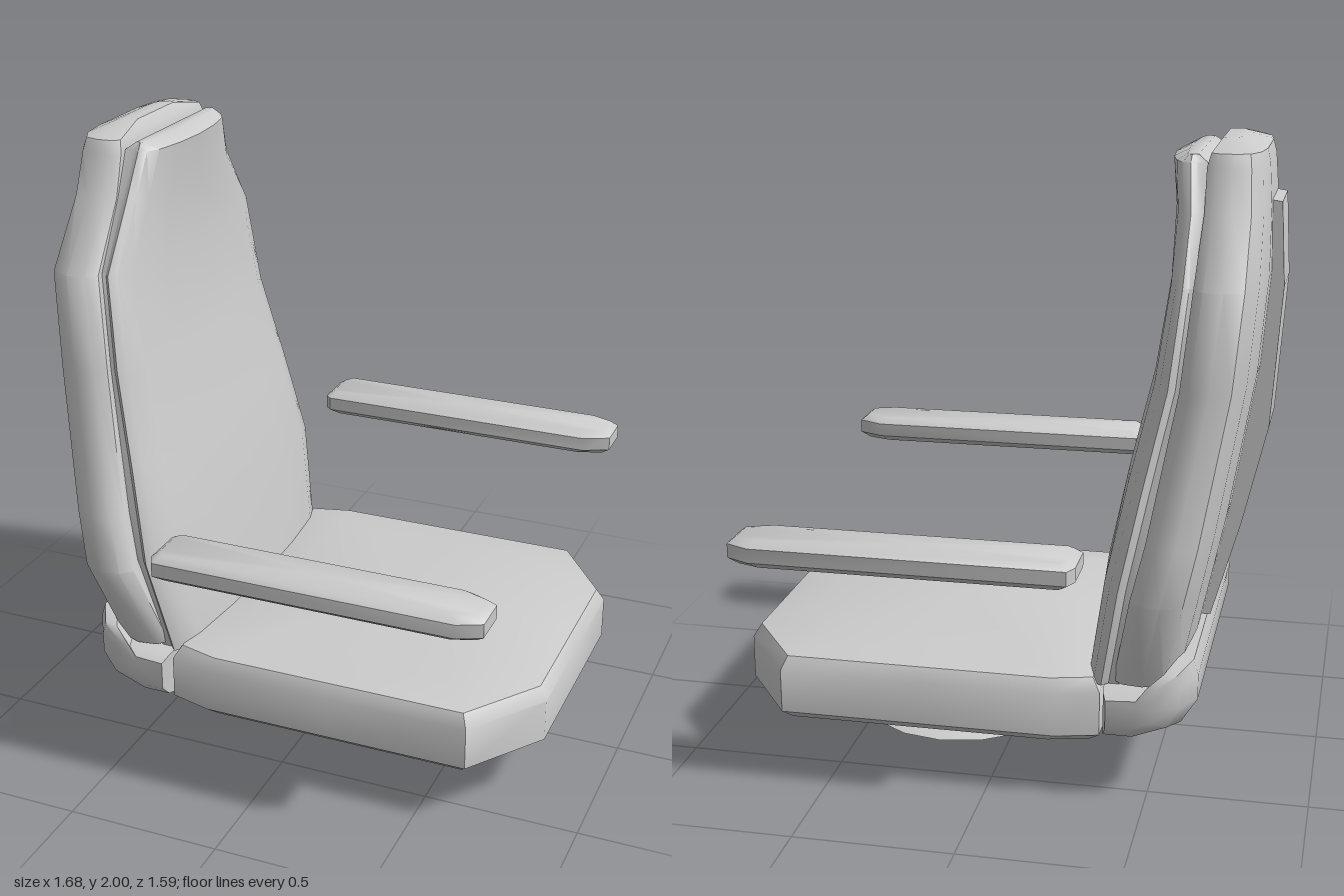
import * as THREE from 'three';
import { toCreasedNormals } from 'three/addons/utils/BufferGeometryUtils.js';

const material = new THREE.MeshStandardMaterial({ color: 0xcccccc });

// Skin a stack of closed rings ([x, y, z] points) and cap both ends.
function loft(rings, crease = 0.75) {
  const n = rings[0].length, pos = rings.flat(2), index = [];
  for (let r = 0; r < rings.length - 1; r++) {
    for (let i = 0; i < n; i++) {
      const a = r * n + i, b = r * n + (i + 1) % n;
      index.push(a, b, b + n, a, b + n, a + n);
    }
  }
  [0, rings.length - 1].forEach((r, end) => {
    const c = pos.length / 3;
    for (let k = 0; k < 3; k++) pos.push(rings[r].reduce((s, p) => s + p[k], 0) / n);
    for (let i = 0; i < n; i++) {
      const a = r * n + i, b = r * n + (i + 1) % n;
      index.push(...(end ? [a, b, c] : [b, a, c]));
    }
  });
  // Turn the faces outward if the signed volume is negative
  const v = (i) => new THREE.Vector3().fromArray(pos, i * 3);
  let volume = 0;
  for (let i = 0; i < index.length; i += 3) {
    volume += v(index[i]).dot(v(index[i + 1]).cross(v(index[i + 2])));
  }
  if (volume < 0) index.reverse();
  const g = new THREE.BufferGeometry();
  g.setAttribute('position', new THREE.Float32BufferAttribute(pos, 3));
  g.setIndex(index);
  return toCreasedNormals(g, crease);
}

// Complete a half outline of [x, z] points by mirroring it across z = 0.
function mirrorZ(half) {
  const back = half.filter((p) => p[1] > 0).reverse().map(([x, z]) => [x, -z]);
  return [...half, ...back];
}

// Padded slab: one plan outline repeated at [y, inset] levels.
function slab(plan, levels) {
  const xs = plan.map((p) => p[0]), zs = plan.map((p) => p[1]);
  const cx = (Math.min(...xs) + Math.max(...xs)) / 2, hx = Math.max(...xs) - cx;
  const cz = (Math.min(...zs) + Math.max(...zs)) / 2, hz = Math.max(...zs) - cz;
  return loft(levels.map(([y, inset]) => plan.map(([x, z]) => [
    cx + (x - cx) * (hx - inset) / hx, y, cz + (z - cz) * (hz - inset) / hz])));
}

// Backrest layer: [y, front x, back x, half width] levels with one section of
// [share of depth, share of half width] points.
function backLayer(levels, section) {
  return loft(levels.map(([y, xf, xb, w]) =>
    mirrorZ(section.map(([d, s]) => [xf + (xb - xf) * d, s * w])).map(([x, z]) => [x, y, z])));
}

function disc(profile, x) {
  const g = new THREE.LatheGeometry(profile.map(([r, y]) => new THREE.Vector2(r, y)), 16);
  return toCreasedNormals(g.translate(x, 0, 0), 0.5);
}

export function createModel() {
  const group = new THREE.Group();
  const add = (name, geometry) => {
    const mesh = new THREE.Mesh(geometry, material);
    mesh.name = name;
    group.add(mesh);
    return mesh;
  };

  // Floor disc and swivel plate
  add('floorDisc', disc([[0, 0], [0.27, 0.005], [0.34, 0.03], [0.27, 0.055], [0, 0.055]], 0.21));
  add('swivelPlate', disc([[0, 0.13], [0.33, 0.13], [0.36, 0.155], [0.4, 0.16],
    [0.43, 0.18], [0.43, 0.2], [0, 0.2]], 0.22));

  // Seat cushion with chamfered front corners
  add('seatCushion', slab(
    mirrorZ([[-0.36, 0], [-0.355, 0.565], [-0.22, 0.6], [0.2, 0.6], [0.66, 0.6], [0.84, 0.35], [0.84, 0]]),
    [[0.18, 0.035], [0.21, 0], [0.35, 0], [0.392, 0.025], [0.425, 0.18]]));

  // Rounded bolster behind the seat
  const bolster = [[-0.36, 0.2], [-0.47, 0.2], [-0.6, 0.25], [-0.65, 0.33], [-0.65, 0.41],
    [-0.635, 0.46], [-0.585, 0.46], [-0.53, 0.38], [-0.36, 0.37]];
  add('rearBolster', loft([[-0.6, 0.55], [-0.575, 0.82], [-0.5, 1], [0.5, 1], [0.575, 0.82], [0.6, 0.55]]
    .map(([z, s]) => bolster.map(([x, y]) => [-0.4 + (x + 0.4) * s, 0.31 + (y - 0.31) * s, z]))));

  // Backrest shell
  add('backrestShell', backLayer([
    [0.38, -0.39, -0.6, 0.56], [0.68, -0.45, -0.665, 0.67], [0.85, -0.49, -0.7, 0.64],
    [1.3, -0.57, -0.775, 0.55], [1.6, -0.6, -0.8, 0.52], [1.8, -0.61, -0.795, 0.355],
    [1.93, -0.61, -0.785, 0.31], [1.97, -0.62, -0.775, 0.29], [2.0, -0.64, -0.7, 0.13],
  ], [[0, 0], [0, 0.5], [0, 0.93], [0.15, 0.985], [0.45, 1], [0.75, 0.95], [0.92, 0.76], [1, 0.42], [1, 0]]));

  // Backrest front cushion
  add('backrestCushion', backLayer([
    [0.37, -0.275, -0.41, 0.55], [0.7, -0.325, -0.47, 0.61], [1.0, -0.385, -0.53, 0.56],
    [1.3, -0.455, -0.59, 0.51], [1.6, -0.5, -0.615, 0.48], [1.8, -0.5, -0.62, 0.335],
    [1.94, -0.485, -0.61, 0.27], [1.962, -0.535, -0.58, 0.25],
  ], [[0, 0], [0.06, 0.45], [0.22, 0.82], [0.4, 0.96], [0.6, 1], [0.75, 0.96], [1, 0.96], [1, 0]]));

  // Spine bar on the back
  const spine = new THREE.Shape([[-0.645, 0.46], [-0.735, 0.78], [-0.81, 1.1], [-0.84, 1.55], [-0.825, 1.81],
    [-0.76, 1.82], [-0.76, 1.55], [-0.72, 1.1], [-0.62, 0.6], [-0.59, 0.46]]
    .map((p) => new THREE.Vector2(...p)));
  const bar = new THREE.ExtrudeGeometry(spine, { depth: 0.24, bevelEnabled: false });
  add('spineBar', toCreasedNormals(bar.translate(0, 0, -0.12), 0.5));

  // Armrests
  const arm = [[-0.31, 0.62], [-0.29, 0.6], [0.67, 0.6], [0.755, 0.64],
    [0.755, 0.76], [0.68, 0.795], [-0.29, 0.795], [-0.31, 0.755]];
  for (const [name, side] of [['armrestFront', 1], ['armrestRear', -1]]) {
    add(name, slab(arm.map(([x, z]) => [x, z * side]),
      [[0.757, 0.03], [0.78, 0], [0.825, 0], [0.845, 0.025]]));
  }
  return group;
}
